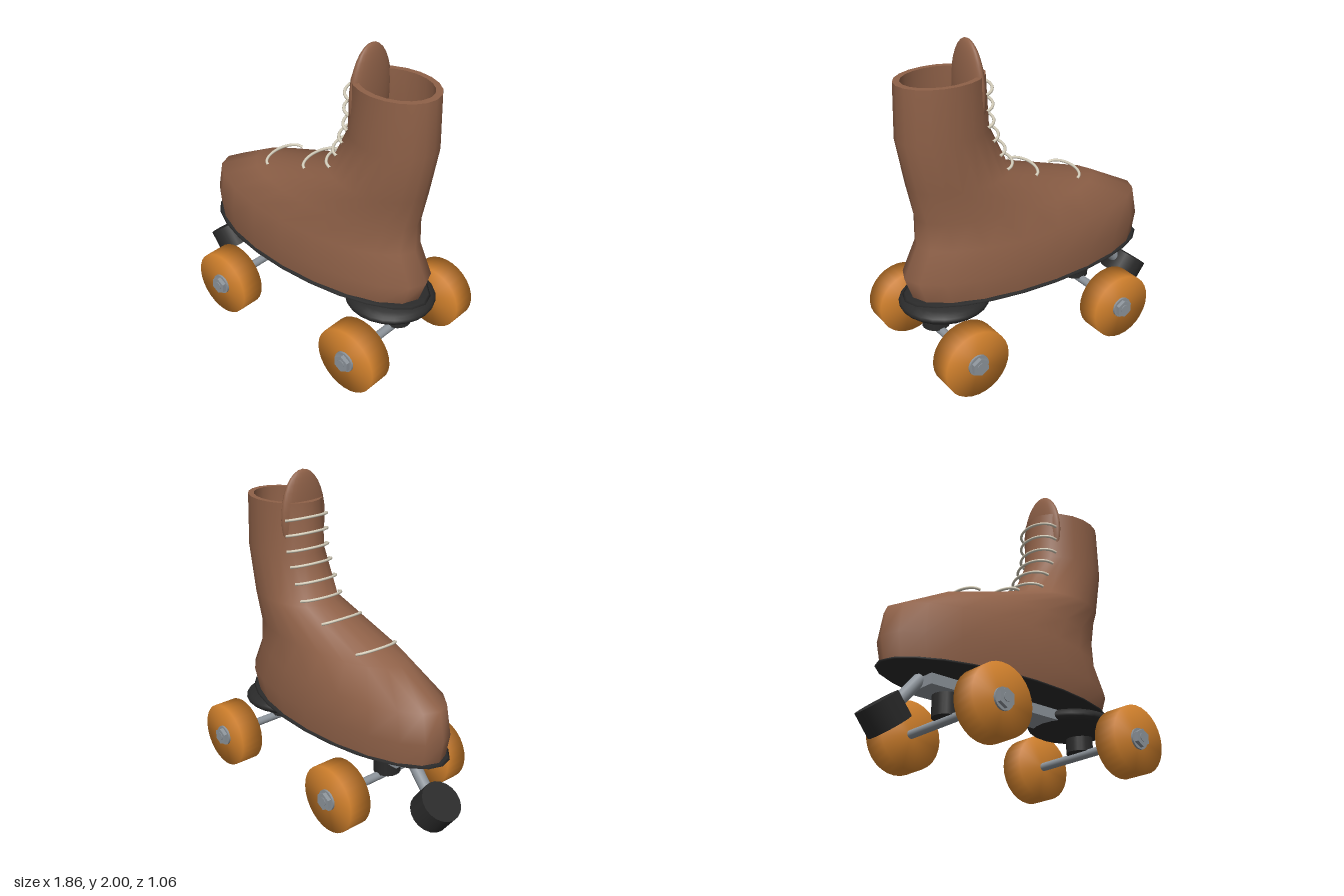
import * as THREE from 'three';

const paint = (name, color, side = THREE.FrontSide) => {
  const m = new THREE.MeshStandardMaterial({ color, side });
  m.name = name;
  return m;
};

// Smooth skin through horizontal ellipses: [y, xMin, xMax, halfWidth]
function loft(rows, sides = 20) {
  const pos = [], idx = [];
  rows.forEach(([y, x0, x1, w], r) => {
    for (let i = 0; i < sides; i++) {
      const a = (i / sides) * Math.PI * 2;
      pos.push((x0 + x1) / 2 + ((x1 - x0) / 2) * Math.cos(a), y, w * Math.sin(a));
      if (r === rows.length - 1) continue;
      const p = r * sides + i, q = r * sides + ((i + 1) % sides);
      idx.push(p, p + sides, q, q, p + sides, q + sides);
    }
  });
  const g = new THREE.BufferGeometry();
  g.setAttribute('position', new THREE.Float32BufferAttribute(pos, 3));
  g.setIndex(idx);
  g.computeVertexNormals();
  return g;
}

export function createModel() {
  const leather = paint('brown leather', 0x8f6148);
  const rubber = paint('black rubber', 0x2a2a2a);
  const steel = paint('grey steel', 0x8d949b);
  const orange = paint('orange wheel', 0xd0802c);
  const cord = paint('cream cord', 0xd6cfbc);

  const model = new THREE.Group();
  model.name = 'rollerSkate';
  const add = (name, geo, mat, x = 0, y = 0, z = 0, parent = model) => {
    const m = new THREE.Mesh(geo, mat);
    m.name = name;
    m.position.set(x, y, z);
    parent.add(m);
    return m;
  };
  const ball = (name, mat, x, y, rx, ry, rz) =>
    add(name, new THREE.SphereGeometry(1, 24, 16), mat, x, y).scale.set(rx, ry, rz);
  const rod = (name, mat, from, to, r) => {
    const a = new THREE.Vector3(...from), b = new THREE.Vector3(...to);
    const m = add(name, new THREE.CylinderGeometry(r, r, a.distanceTo(b), 20), mat);
    m.position.copy(a).lerp(b, 0.5);
    m.quaternion.setFromUnitVectors(new THREE.Vector3(0, 1, 0), b.sub(a).normalize());
    return m;
  };

  // Boot: outer skin, flat rim and inner lining
  const shell = [
    [0.46, -0.795, 0.86, 0.318],
    [0.61, -0.825, 0.912, 0.334],
    [0.80, -0.79, 0.82, 0.315],
    [0.975, -0.46, 0.817, 0.265],
    [1.18, 0.19, 0.85, 0.226],
    [1.48, 0.33, 0.902, 0.216],
    [1.81, 0.345, 0.89, 0.212],
  ];
  const lining = shell.map(([y, x0, x1, w]) => [y, x0 + 0.04, x1 - 0.04, w - 0.035]).reverse();
  add('bootOuter', loft(shell), leather);
  add('bootRim', loft([shell[shell.length - 1], lining[0]]), leather);
  add('bootLining', loft(lining), leather);
  ball('tongue', leather, 0.435, 1.7, 0.052, 0.3, 0.17);

  // Laces: arched cords, [front x, y, depth]
  const laces = [
    [-0.305, 1.045, 0.065], [0.015, 1.145, 0.06], [0.185, 1.237, 0.095], [0.235, 1.337, 0.095],
    [0.28, 1.437, 0.095], [0.308, 1.53, 0.1], [0.312, 1.63, 0.1], [0.315, 1.727, 0.1],
  ];
  laces.forEach(([x, y, d]) => {
    const pts = [];
    for (let i = 0; i <= 8; i++) {
      const a = (i / 8 - 0.5) * Math.PI, k = 1 - Math.cos(a);
      pts.push(new THREE.Vector3(x + d * k, y - 0.025 * k, 0.155 * Math.sin(a)));
    }
    add('lace', new THREE.TubeGeometry(new THREE.CatmullRomCurve3(pts), 24, 0.009, 8), cord);
  });

  // Sole, heel pad and chassis plate
  ball('sole', rubber, 0.045, 0.46, 0.875, 0.03, 0.338);
  ball('heelPad', rubber, 0.65, 0.395, 0.28, 0.075, 0.28);
  add('chassisPlate', new THREE.BoxGeometry(1.2, 0.065, 0.22), steel, 0.05, 0.395);

  // Toe stop
  rod('toeStopStem', steel, [-0.55, 0.42, 0], [-0.74, 0.2, 0], 0.038);
  rod('toeStop', rubber, [-0.83, 0.22, 0], [-0.735, 0.098, 0], 0.132);

  // Trucks with axles, wheels and nuts
  const tyre = new THREE.LatheGeometry(
    [[0, -0.0775], [0.212, -0.0775], [0.212, 0.0775], [0, 0.0775]].map((p) => new THREE.Vector2(...p)), 28);
  tyre.rotateX(Math.PI / 2);
  const washer = new THREE.CylinderGeometry(0.066, 0.066, 0.02, 20).rotateX(Math.PI / 2);
  const nut = new THREE.CylinderGeometry(0.056, 0.056, 0.03, 6).rotateX(Math.PI / 2).toNonIndexed();
  nut.computeVertexNormals();
  [['front', -0.358], ['rear', 0.717]].forEach(([end, x]) => {
    add(end + 'Truck', new THREE.CylinderGeometry(0.085, 0.085, 0.22, 20), rubber, x, 0.34);
    rod(end + 'Axle', steel, [x, 0.215, -0.53], [x, 0.215, 0.53], 0.027);
    [1, -1].forEach((s) => {
      const wheel = new THREE.Group();
      wheel.name = end + (s > 0 ? 'NearWheel' : 'FarWheel');
      wheel.position.set(x, 0.2125, s * 0.411);
      model.add(wheel);
      add('tyre', tyre, orange, 0, 0, 0, wheel);
      add('washer', washer, steel, 0, 0, s * 0.08, wheel);
      add('nut', nut, steel, 0, 0, s * 0.1, wheel);
    });
  });

  return model;
}
